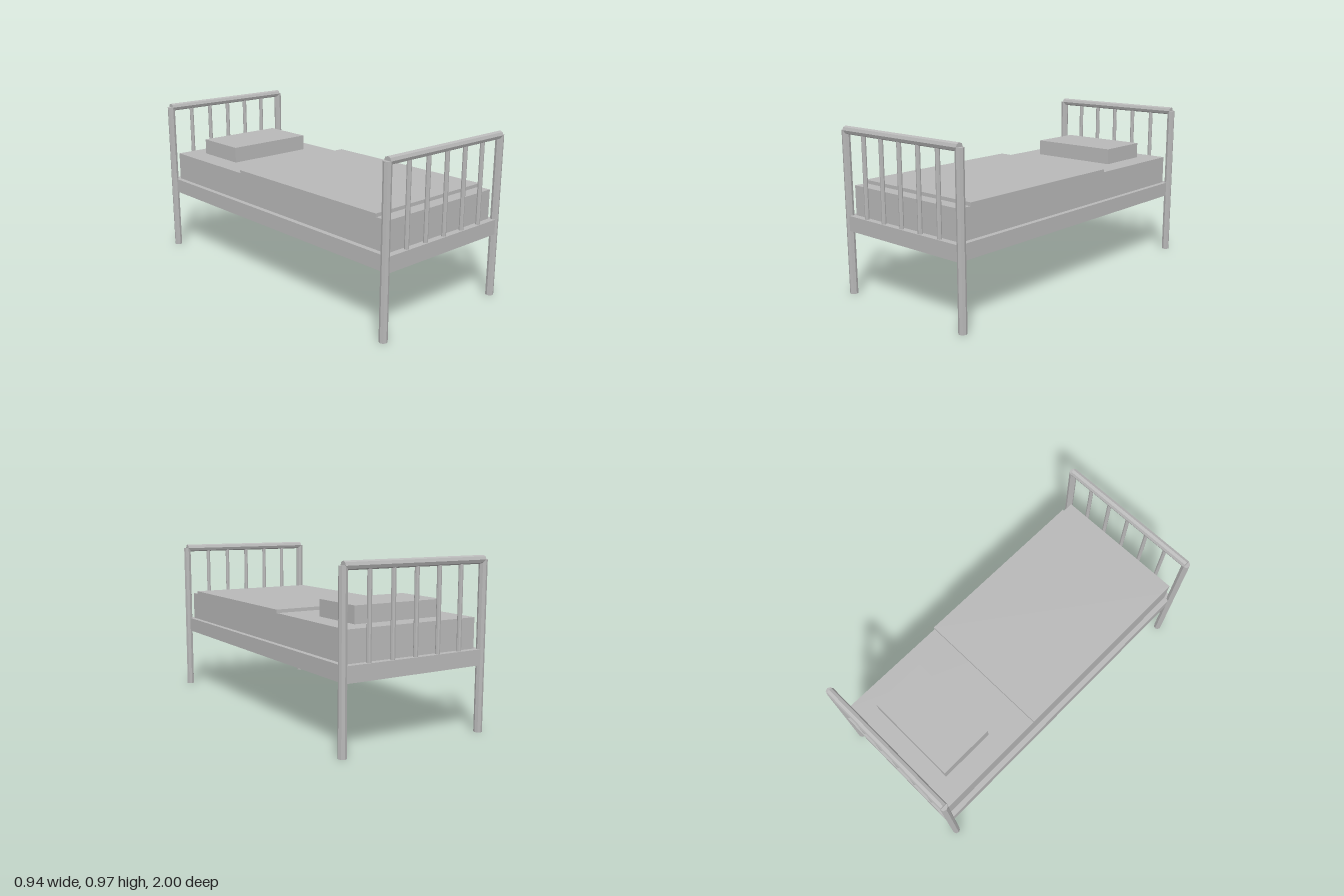
import * as THREE from 'three';

export function createModel() {
  const bed = new THREE.Group();
  bed.name = 'bed';
  const grey = new THREE.MeshStandardMaterial({ color: 0xb8b8b8, flatShading: true });
  grey.name = 'grey';

  const add = (parent, name, geometry, x, y, z) => {
    const mesh = new THREE.Mesh(geometry, grey);
    mesh.name = name;
    mesh.position.set(x, y, z);
    parent.add(mesh);
    return mesh;
  };

  // Box given by its half width and its y and z ranges
  const slab = (name, halfX, y0, y1, z0, z1) =>
    add(bed, name, new THREE.BoxGeometry(halfX * 2, y1 - y0, z1 - z0), 0, (y0 + y1) / 2, (z0 + z1) / 2);

  slab('frame', 0.447, 0.377, 0.465, -0.994, 0.994);
  slab('mattress', 0.416, 0.465, 0.637, -0.956, 0.956);
  slab('blanket', 0.42, 0.636, 0.657, -0.26, 0.88);
  slab('pillow', 0.283, 0.637, 0.733, -0.835, -0.496);

  // Matching tubular headboard and footboard
  const postX = 0.447, endZ = 0.9765, radius = 0.0235, postHeight = 0.949;
  const post = new THREE.CylinderGeometry(radius, radius, postHeight, 8);
  const rail = new THREE.CylinderGeometry(radius, radius, postX * 2, 8).rotateZ(Math.PI / 2);
  const barBottom = 0.45;
  const bar = new THREE.CylinderGeometry(0.0128, 0.0128, postHeight - barBottom, 8);

  for (const side of [-1, 1]) {
    const end = new THREE.Group();
    end.name = side < 0 ? 'headboard' : 'footboard';
    end.position.z = side * endZ;
    bed.add(end);
    for (const s of [-1, 1]) add(end, s < 0 ? 'rightPost' : 'leftPost', post, s * postX, postHeight / 2, 0);
    add(end, 'topRail', rail, 0, postHeight, 0);
    for (let i = -2; i <= 2; i++) add(end, 'bar', bar, i * 0.146, (postHeight + barBottom) / 2, 0);
  }
  return bed;
}
